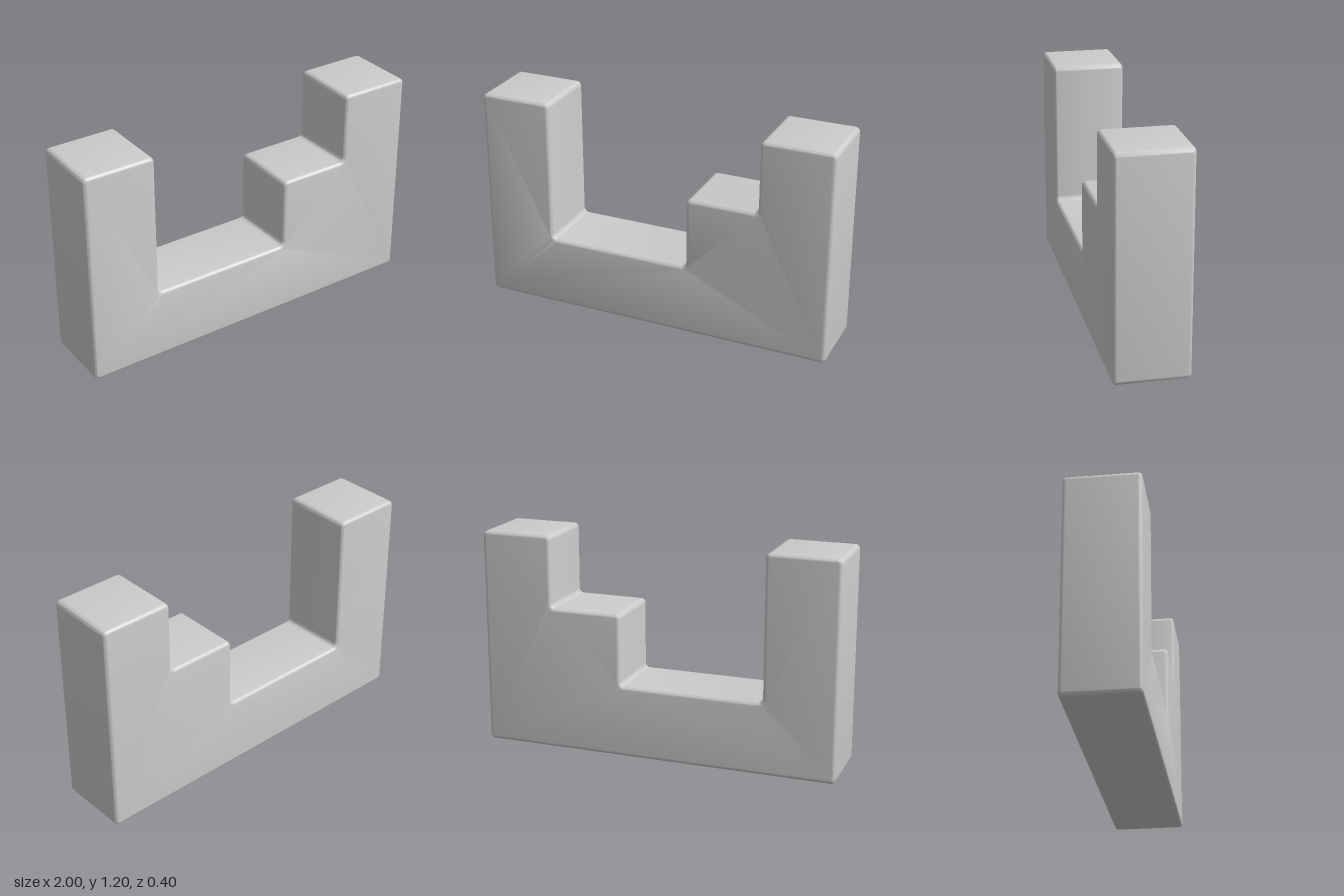
import * as THREE from 'three';
import { toCreasedNormals } from 'three/addons/utils/BufferGeometryUtils.js';

const CORNER = 0.025; // corner radius of the outline
const BEVEL = 0.02;   // rounding of the front and back edges
const DEPTH = 0.4;

// Closed outline with every corner, convex or concave, replaced by an arc
function roundedShape(corners, radius, steps) {
  const pts = corners.map(([x, y]) => new THREE.Vector2(x, y));
  const n = pts.length;
  const outline = [];
  pts.forEach((p, i) => {
    const a = pts[(i + n - 1) % n].clone().sub(p).normalize();
    const b = pts[(i + 1) % n].clone().sub(p).normalize();
    const centre = p.clone().addScaledVector(a, radius).addScaledVector(b, radius);
    for (let k = 0; k <= steps; k++) {
      const t = (k / steps) * Math.PI / 2;
      outline.push(centre.clone()
        .addScaledVector(b, -radius * Math.cos(t))
        .addScaledVector(a, -radius * Math.sin(t)));
    }
  });
  return new THREE.Shape(outline);
}

export function createModel() {
  const group = new THREE.Group();
  group.name = 'steppedBlock';

  // Base bar with a tall column on one end and two steps on the other
  const shape = roundedShape([
    [-1, 0], [1, 0], [1, 1.2], [0.6, 1.2], [0.6, 0.8],
    [0.2, 0.8], [0.2, 0.4], [-0.6, 0.4], [-0.6, 1.2], [-1, 1.2],
  ], CORNER, 5);

  const geometry = new THREE.ExtrudeGeometry(shape, {
    depth: DEPTH - 2 * BEVEL,
    bevelEnabled: true,
    bevelThickness: BEVEL,
    bevelSize: BEVEL,
    bevelOffset: -BEVEL,
    bevelSegments: 5,
  });
  geometry.translate(0, 0, BEVEL - DEPTH / 2);

  const body = new THREE.Mesh(
    toCreasedNormals(geometry, 0.7),
    new THREE.MeshStandardMaterial({ color: 0xcccccc }),
  );
  body.name = 'body';
  group.add(body);
  return group;
}
